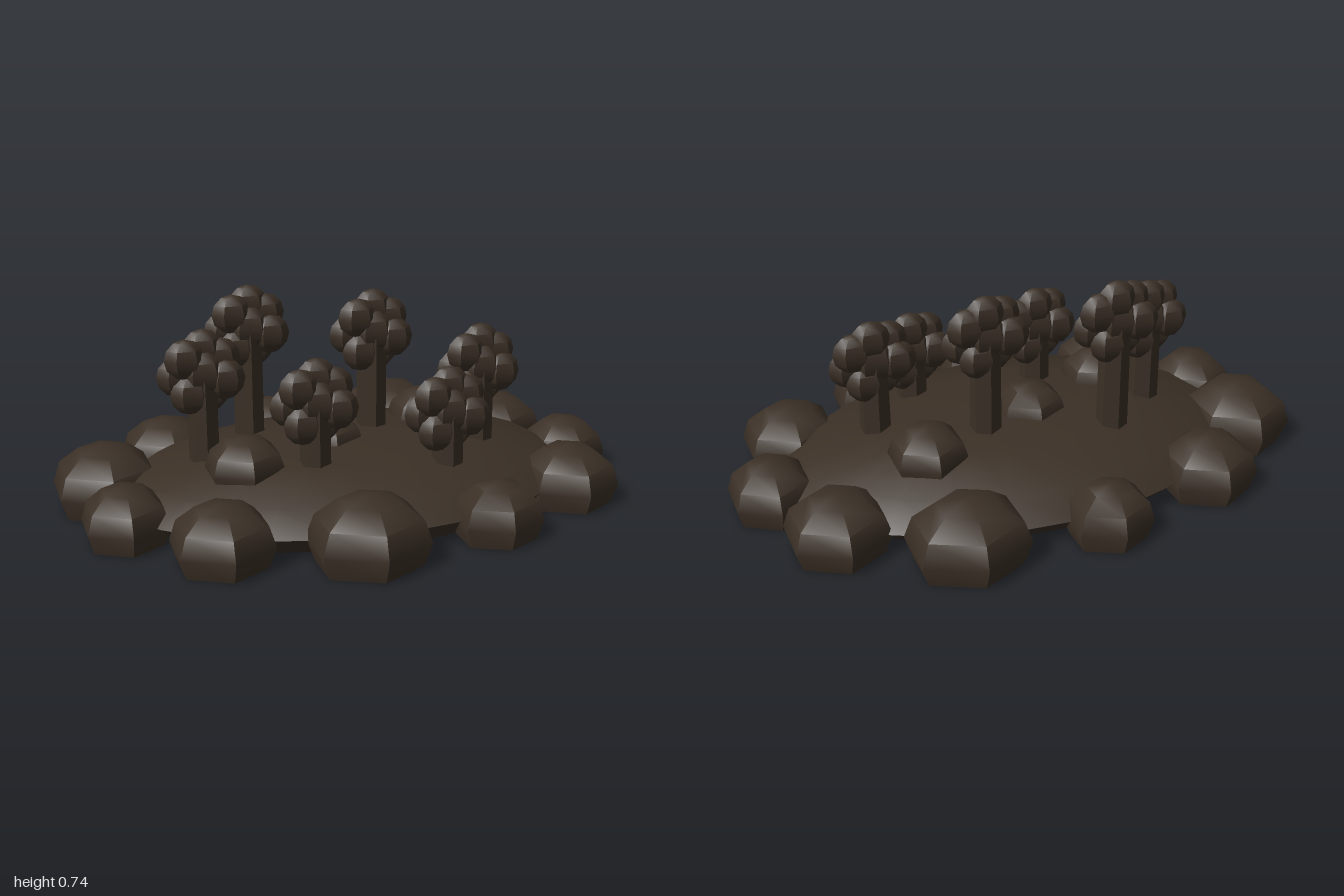
import * as THREE from 'three';
import { toCreasedNormals } from 'three/addons/utils/BufferGeometryUtils.js';

const material = new THREE.MeshStandardMaterial({ color: 0x3b3026 });

// Squashed dome: a lathed ball cut flat one third of the way up, unit radius and height
function domeGeometry(sides) {
  const profile = [[0, 0], [0.866, 0]];
  for (let i = 0; i <= 3; i++) {
    const a = (i * Math.PI) / 6;
    profile.push([Math.cos(a), 1 / 3 + (2 / 3) * Math.sin(a)]);
  }
  const points = profile.map(([r, y]) => new THREE.Vector2(Math.max(r, 0), y));
  return new THREE.LatheGeometry(points, sides);
}

function add(parent, name, geometry, position, scale = [1, 1, 1]) {
  const mesh = new THREE.Mesh(geometry, material);
  mesh.name = name;
  mesh.position.set(...position);
  mesh.scale.set(...scale);
  parent.add(mesh);
  return mesh;
}

// Scaling is baked in before creasing so the facets match the final shape
function addRock(parent, name, [x, z, rx, rz, h], y = 0) {
  const geometry = domeGeometry(6).scale(rx, h, rz);
  add(parent, name, toCreasedNormals(geometry, 0.75), [x, y, z]);
}

// Flat round crown of overlapping lobes on a six-sided trunk
function makeTree(x, z, top) {
  const tree = new THREE.Group();
  tree.name = 'tree';
  tree.position.set(x, 0, z);

  const base = 0.15;
  const centre = top - 0.15;
  const height = centre - base;
  const trunk = new THREE.CylinderGeometry(0.052, 0.055, height, 6);
  add(tree, 'trunk', toCreasedNormals(trunk, 0.75), [0, base + height / 2, 0]);

  const lobe = (px, py, pz, r, depth) => {
    const geometry = new THREE.SphereGeometry(1, 6, 6).scale(r, r, depth);
    add(tree, 'leafLobe', toCreasedNormals(geometry, 0.75), [px, centre + py, pz]);
  };
  lobe(0, 0, 0, 0.085, 0.062);
  for (let i = 0; i < 7; i++) {
    const a = Math.PI / 2 - 0.1 + (i * Math.PI * 2) / 7;
    lobe(0.083 * Math.cos(a), 0.08 * Math.sin(a), i % 2 ? 0.016 : -0.016, 0.071, 0.044);
  }
  return tree;
}

export function createModel() {
  const model = new THREE.Group();
  model.name = 'groveMound';

  // Earth mound
  const soil = domeGeometry(24).scale(0.84, 0.225, 0.55);
  add(model, 'soilMound', toCreasedNormals(soil, 0.75), [0, 0, -0.03]);

  // Ring of border rocks: x, z, x radius, z radius, height
  const borderRocks = [
    [-0.83, -0.19, 0.197, 0.197, 0.23],
    [-0.56, -0.455, 0.178, 0.168, 0.21],
    [-0.12, -0.59, 0.154, 0.136, 0.2],
    [0.355, -0.55, 0.213, 0.184, 0.235],
    [0.72, -0.33, 0.182, 0.176, 0.21],
    [0.865, -0.03, 0.152, 0.16, 0.195],
    [0.72, 0.28, 0.18, 0.174, 0.21],
    [0.35, 0.49, 0.16, 0.139, 0.2],
    [-0.12, 0.54, 0.21, 0.184, 0.235],
    [-0.56, 0.4, 0.178, 0.171, 0.21],
    [-0.82, 0.13, 0.154, 0.155, 0.2],
  ];
  for (const rock of borderRocks) addRock(model, 'borderRock', rock);

  // Rocks half sunk into the mound
  const moundRocks = [
    [0.365, -0.2, 0.139, 0.136, 0.17],
    [-0.065, -0.05, 0.133, 0.123, 0.17],
    [-0.405, 0.1, 0.142, 0.131, 0.17],
  ];
  for (const rock of moundRocks) addRock(model, 'moundRock', rock, 0.14);

  // Trees: x, z, top height
  const trees = [
    [-0.505, -0.07, 0.64],
    [-0.3, -0.232, 0.74],
    [-0.175, 0.16, 0.57],
    [0.13, -0.13, 0.715],
    [0.275, 0.235, 0.52],
    [0.47, 0.05, 0.605],
  ];
  for (const tree of trees) model.add(makeTree(...tree));

  return model;
}
